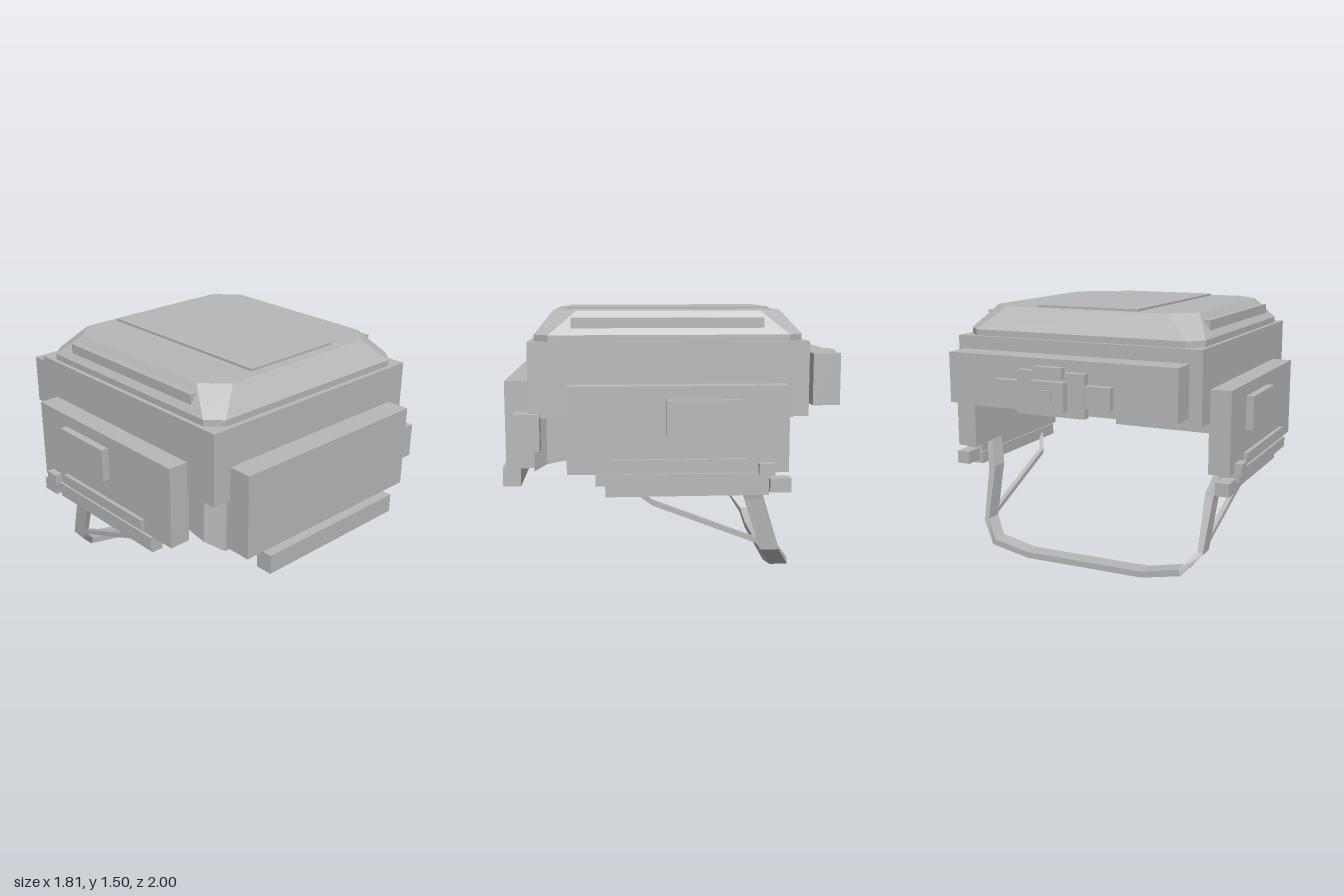
import * as THREE from 'three';

const grey = new THREE.MeshStandardMaterial({ color: 0xb8b8b8 });
grey.name = 'plain grey';

// Box given by its min and max on each axis
function box(parent, name, [x0, x1], [y0, y1], [z0, z1]) {
  const mesh = new THREE.Mesh(new THREE.BoxGeometry(x1 - x0, y1 - y0, z1 - z0), grey);
  mesh.position.set((x0 + x1) / 2, (y0 + y1) / 2, (z0 + z1) / 2);
  mesh.name = name;
  parent.add(mesh);
}

// The same box on the left and the right
function pair(parent, name, [x0, x1], y, z) {
  box(parent, name + 'Left', [x0, x1], y, z);
  box(parent, name + 'Right', [-x1, -x0], y, z);
}

// Capped, faceted skin through rings of corners
function loft(parent, name, rings) {
  const pos = [];
  const tri = (a, b, c) => pos.push(...a, ...b, ...c);
  const n = rings[0].length;
  for (let i = 0; i < rings.length - 1; i++) {
    for (let j = 0; j < n; j++) {
      const k = (j + 1) % n;
      tri(rings[i][j], rings[i][k], rings[i + 1][k]);
      tri(rings[i][j], rings[i + 1][k], rings[i + 1][j]);
    }
  }
  const first = rings[0], last = rings[rings.length - 1];
  for (let j = 1; j < n - 1; j++) {
    tri(first[0], first[j + 1], first[j]);
    tri(last[0], last[j], last[j + 1]);
  }
  const geo = new THREE.BufferGeometry();
  geo.setAttribute('position', new THREE.Float32BufferAttribute(pos, 3));
  geo.computeVertexNormals();
  const mesh = new THREE.Mesh(geo, grey);
  mesh.name = name;
  parent.add(mesh);
}

// Rectangle with cut corners, lying flat at height y
function octagon(hx, z0, z1, cut, y) {
  const a = hx - cut;
  return [[-a, z1], [a, z1], [hx, z1 - cut], [hx, z0 + cut],
    [a, z0], [-a, z0], [-hx, z0 + cut], [-hx, z1 - cut]].map(([x, z]) => [x, y, z]);
}

export function createModel() {
  const model = new THREE.Group();
  model.name = 'helmet';

  // Shell and bevelled crown
  box(model, 'shell', [-0.745, 0.745], [0.92, 1.325], [-0.68, 0.83]);
  loft(model, 'crown', [
    octagon(0.72, -0.655, 0.8, 0.08, 1.32),
    octagon(0.72, -0.655, 0.8, 0.08, 1.36),
    octagon(0.63, -0.555, 0.7, 0.13, 1.487),
  ]);
  box(model, 'crownPlate', [-0.31, 0.31], [1.48, 1.5], [-0.525, 0.64]);
  pair(model, 'crownRail', [0.62, 0.695], [1.395, 1.45], [-0.44, 0.6]);

  // Thin face wall under the shell, rising toward the back
  const wall = [[0.73, -0.6, 0.915], [0.73, 0.735, 0.67], [0.65, 0.81, 0.615]];
  const path = [...wall.map(([x, z, y]) => [-x, z, y]), ...wall.slice().reverse()];
  loft(model, 'faceWall', path.map(([x, z, y]) => [
    [x, 0.93, z], [x, y, z], [x * 0.97, y + 0.015, z - 0.02], [x * 0.97, 0.93, z - 0.02],
  ]));

  // Front visor, chin bar and knob
  box(model, 'visor', [-0.635, 0.635], [0.63, 1.11], [0.81, 0.965]);
  box(model, 'chinBar', [-0.5, 0.5], [0.5, 0.61], [0.9, 1]);
  box(model, 'visorKnob', [0.63, 0.78], [0.745, 0.945], [0.77, 0.91]);

  // Ear blocks with pads, strips and rails
  pair(model, 'earBlock', [0.74, 0.862], [0.635, 1.1], [-0.555, 0.625]);
  pair(model, 'earPad', [0.86, 0.905], [0.84, 1.03], [-0.295, 0.1]);
  pair(model, 'earStrip', [0.86, 0.885], [0.655, 0.715], [-0.325, 0.4]);
  pair(model, 'earClip', [0.86, 0.905], [0.625, 0.69], [-0.475, -0.39]);
  pair(model, 'upperEarRail', [0.77, 0.878], [0.575, 0.636], [-0.445, 0.475]);
  pair(model, 'lowerEarRail', [0.76, 0.83], [0.505, 0.575], [-0.455, 0.425]);
  pair(model, 'strapClip', [0.785, 0.865], [0.525, 0.6], [-0.57, -0.455]);

  // Rear pack and its buckle
  box(model, 'rearPack', [-0.685, 0.685], [0.97, 1.255], [-0.866, -0.715]);
  box(model, 'buckleBar', [-0.345, 0.345], [1.02, 1.14], [-0.945, -0.902]);
  box(model, 'bucklePlate', [-0.2, 0.2], [0.965, 1.2], [-0.948, -0.9]);
  box(model, 'buckleTab', [-0.085, 0.085], [1.17, 1.23], [-0.982, -0.94]);
  box(model, 'buckleBoss', [-0.1, 0.1], [1, 1.155], [-0.99, -0.945]);
  box(model, 'buckleStud', [-0.03, 0.03], [1.05, 1.11], [-1, -0.985]);

  // Chin strap: outer x, y, inner x, y, front z, back z
  const half = [
    [0.765, 0.64, 0.735, 0.64, -0.28, -0.39],
    [0.73, 0.46, 0.685, 0.49, -0.335, -0.44],
    [0.71, 0.165, 0.68, 0.18, -0.43, -0.535],
    [0.61, 0.05, 0.595, 0.085, -0.503, -0.603],
    [0.37, 0.002, 0.37, 0.038, -0.505, -0.605],
  ];
  const strapRing = (s) => ([xo, yo, xi, yi, zf, zb]) =>
    [[s * xo, yo, zb], [s * xo, yo, zf], [s * xi, yi, zf], [s * xi, yi, zb]];
  loft(model, 'chinStrap', [
    ...half.map(strapRing(1)), ...half.slice().reverse().map(strapRing(-1)),
  ]);

  // Thin stays from the ear rails down to the strap
  for (const s of [1, -1]) {
    const rings = [[0.765, 0.53, 0.265], [0.71, 0.445, 0.17], [0.693, 0.205, -0.44]].map(([x, y, z]) => {
      const ring = [[0.015, 0.015], [0.015, -0.015], [-0.015, -0.015], [-0.015, 0.015]]
        .map(([dx, dy]) => [s * (x + dx), y + dy, z]);
      return s > 0 ? ring : ring.reverse();
    });
    loft(model, s > 0 ? 'strapStayLeft' : 'strapStayRight', rings);
  }

  return model;
}
